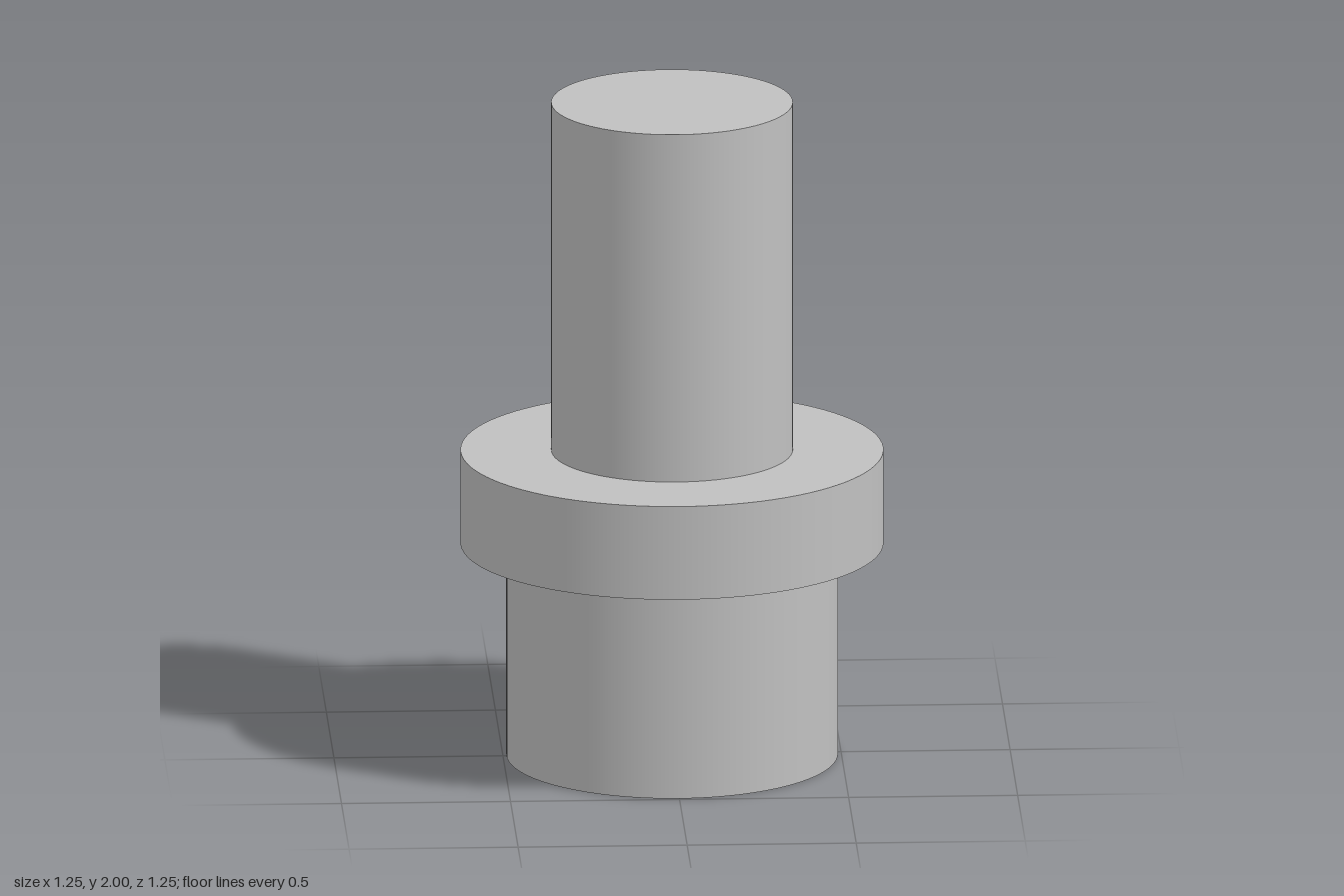
import * as THREE from 'three';

export function createModel() {
  const group = new THREE.Group();
  group.name = 'flangedPin';

  const grey = new THREE.MeshStandardMaterial({ color: 0xc0c0c0 });
  grey.name = 'plain grey';

  // Adds one upright round section between two heights
  const addSection = (name, radius, bottom, top) => {
    const geometry = new THREE.CylinderGeometry(radius, radius, top - bottom, 96);
    const mesh = new THREE.Mesh(geometry, grey);
    mesh.name = name;
    mesh.position.y = (bottom + top) / 2;
    group.add(mesh);
  };

  addSection('base', 0.49, 0, 0.648);
  addSection('flange', 0.625, 0.648, 0.934);
  addSection('shaft', 0.357, 0.934, 2);

  return group;
}
